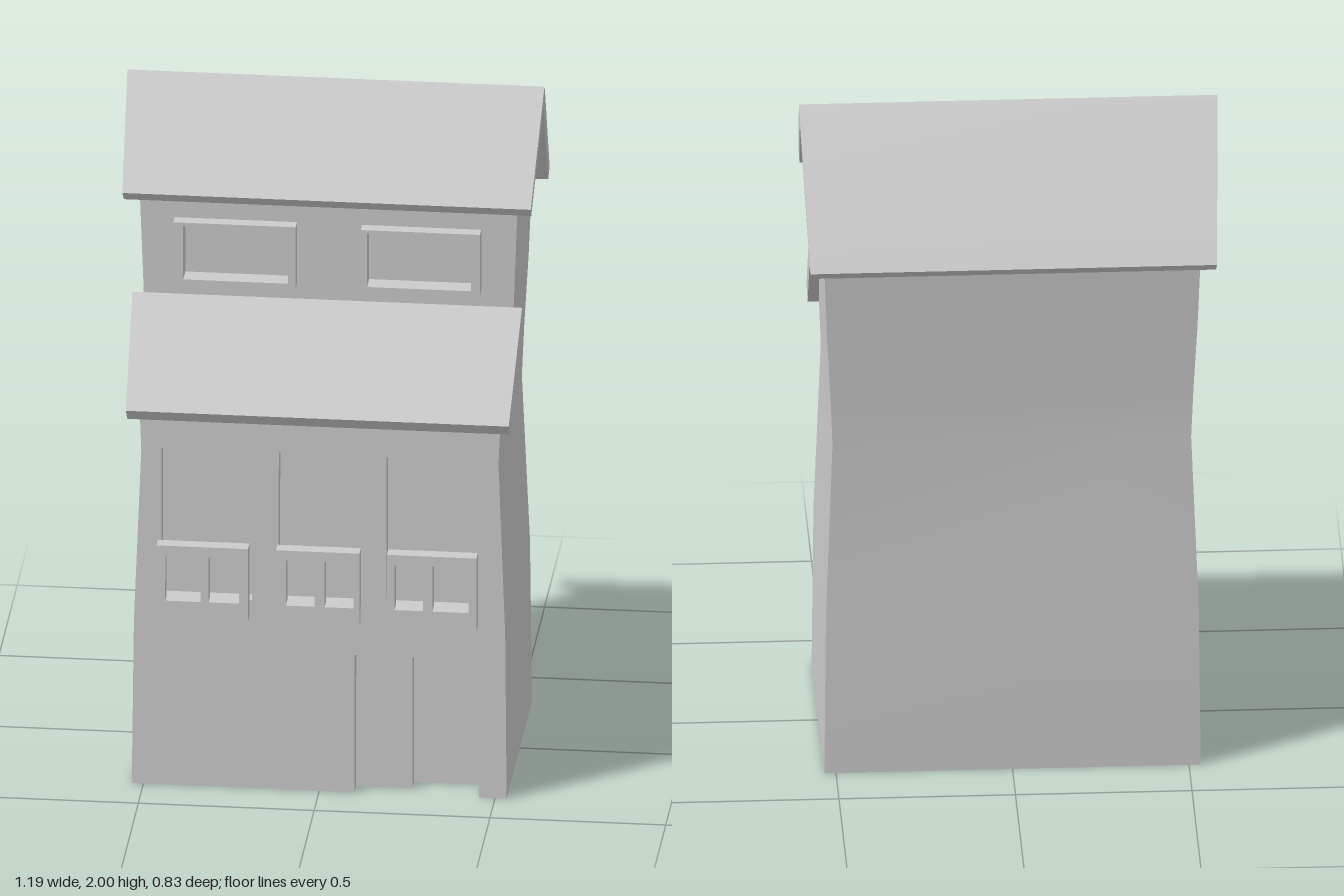
import * as THREE from 'three';
import { toCreasedNormals } from 'three/addons/utils/BufferGeometryUtils.js';

const material = new THREE.MeshStandardMaterial({ color: 0xcccccc, side: THREE.DoubleSide });

// Body cross-sections: height, front z, back z, half width
const levels = [
  [0, 0.36, -0.337, 0.533],
  [0.5, 0.351, -0.329, 0.528],
  [1.02, 0.341, -0.3, 0.508],
  [1.175, 0.338, -0.309, 0.514],
  [1.38, 0.1, -0.32, 0.525],
  [1.65, 0.1, -0.335, 0.535],
  [1.73, 0.1, -0.27, 0.538],
  [1.94, -0.1, -0.1, 0.547],
];
const lowerZ = (y) => 0.36 - 0.0187 * y; // leaning lower front
const upperZ = () => 0.1;

export function createModel() {
  const house = new THREE.Group();
  house.name = 'house';

  const add = (name, geometry, parent = house) => {
    const mesh = new THREE.Mesh(toCreasedNormals(geometry, 0.5), material);
    mesh.name = name;
    parent.add(mesh);
    return mesh;
  };

  // Grid surface through rows of points
  const surface = (rows) => {
    const n = rows[0].length;
    const index = [];
    for (let i = 0; i < rows.length - 1; i++) {
      for (let j = 0; j < n - 1; j++) {
        const a = i * n + j;
        index.push(a, a + 1, a + n + 1, a, a + n + 1, a + n);
      }
    }
    const geometry = new THREE.BufferGeometry();
    geometry.setAttribute('position', new THREE.Float32BufferAttribute(rows.flat(2), 3));
    geometry.setIndex(index);
    geometry.computeVertexNormals();
    return geometry;
  };

  const rect = ([x0, x1, y0, y1]) => [[x0, y0], [x1, y0], [x1, y1], [x0, y1]];
  const shapeOf = (points, holes = []) => {
    const toVec = (p) => new THREE.Vector2(p[0], p[1]);
    const shape = new THREE.Shape(points.map(toVec));
    holes.forEach((h) => shape.holes.push(new THREE.Path(rect(h).map(toVec))));
    return shape;
  };

  // Move a geometry onto a front wall
  const onWall = (geometry, wallZ) => {
    const p = geometry.attributes.position;
    for (let i = 0; i < p.count; i++) p.setZ(i, p.getZ(i) + wallZ(p.getY(i)));
    geometry.computeVertexNormals();
    return geometry;
  };

  // Recessed opening: four reveals and a back pane
  const recess = (name, r, depth, wallZ) => {
    const group = new THREE.Group();
    group.name = name;
    house.add(group);
    const corners = [...rect(r), rect(r)[0]];
    add('reveal', surface([-depth, 0].map((d) => corners.map(([x, y]) => [x, y, wallZ(y) + d]))), group);
    const pane = new THREE.ShapeGeometry(shapeOf(rect(r))).translate(0, 0, -depth);
    add('pane', onWall(pane, wallZ), group);
  };

  // Raised panel with openings
  const raised = (name, r, holes, depth, wallZ) => {
    const geometry = new THREE.ExtrudeGeometry(shapeOf(rect(r), holes), { depth, bevelEnabled: false });
    add(name, onWall(geometry, wallZ));
  };

  // Side walls and back wall
  for (const s of [1, -1]) {
    const rows = levels.map(([y, f, b, w]) => [[s * w, y, f], [s * w, y, b]]);
    add(s > 0 ? 'leftWall' : 'rightWall', surface(s > 0 ? rows : rows.reverse()));
  }
  add('backWall', surface(levels.map(([y, , b, w]) => [[-w, y, b], [w, y, b]]).reverse()));

  // Lower front wall, with window holes and a doorway notch
  const windows = [[-0.45, -0.192, 0.575, 1.03], [-0.117, 0.113, 0.575, 1.03], [0.19, 0.44, 0.575, 1.03]];
  const edge = levels.slice(0, 4).map(([y, , , w]) => [w, y]);
  const doorTop = 0.42;
  const outline = [
    [0.1, 0], [0.1, doorTop], [0.455, doorTop], [0.455, 0],
    ...edge, ...edge.map(([x, y]) => [-x, y]).reverse(),
  ];
  add('lowerFrontWall', onWall(new THREE.ShapeGeometry(shapeOf(outline, windows)), lowerZ));
  windows.forEach((r) => recess('lowerWindow', r, 0.042, lowerZ));

  // Stepped doorway, with lintel
  const plan = [[0.1, 0], [0.1, -0.045], [0.26, -0.045], [0.26, -0.09], [0.455, -0.09], [0.455, 0]];
  const doorRow = (y, k = 1) => plan.map(([x, d]) => [x, y, lowerZ(y) + d * k]);
  add('doorway', surface([doorRow(0), doorRow(doorTop)]));
  add('doorLintel', surface([doorRow(doorTop), doorRow(doorTop, 0)]));

  // Balcony fronts, each with two openings
  const balconies = [
    [-0.46, -0.2, [-0.435, -0.335], [-0.312, -0.225]],
    [-0.12, 0.117, [-0.092, -0.01], [0.018, 0.1]],
    [0.195, 0.45, [0.217, 0.298], [0.325, 0.428]],
  ];
  for (const [x0, x1, ...gaps] of balconies) {
    raised('balconyFront', [x0, x1, 0.525, 0.748], gaps.map(([a, b]) => [a, b, 0.58, 0.718]), 0.04, lowerZ);
  }

  // Upper front wall with two framed windows
  const upperWindows = [[-0.41, -0.112, 1.463, 1.628], [0.113, 0.408, 1.463, 1.628]];
  const upperFrames = [[-0.438, -0.09, 1.45, 1.638], [0.095, 0.434, 1.45, 1.638]];
  const upperEdge = levels.slice(4, 7).map(([y, , , w]) => [w, y]);
  const upperOutline = [...upperEdge, ...upperEdge.map(([x, y]) => [-x, y]).reverse()];
  add('upperFrontWall', onWall(new THREE.ShapeGeometry(shapeOf(upperOutline, upperWindows)), upperZ));
  upperWindows.forEach((r, i) => {
    recess('upperWindow', r, 0.02, upperZ);
    raised('upperWindowFrame', upperFrames[i], [r], 0.037, upperZ);
  });

  // Roofs: (z, y) profile swept across x, flaring with height
  const roof = (name, profile, halfWidth) => {
    const geometry = new THREE.ExtrudeGeometry(shapeOf(profile), { depth: 2, bevelEnabled: false });
    geometry.translate(0, 0, -1).rotateY(-Math.PI / 2);
    const p = geometry.attributes.position;
    for (let i = 0; i < p.count; i++) p.setX(i, p.getX(i) * halfWidth(p.getY(i)));
    geometry.computeVertexNormals();
    add(name, geometry);
  };
  roof('mainRoof',
    [[0.13, 1.7], [0.16, 1.732], [-0.1, 2], [-0.12, 1.982], [-0.412, 1.618], [-0.385, 1.59], [-0.1, 1.94]],
    (y) => 0.593 - (2 - y) * 0.046);
  roof('lowerRoof',
    [[0.382, 1.133], [0.415, 1.172], [0.14, 1.42], [0.103, 1.382]],
    (y) => 0.554 - (1.42 - y) * 0.038);

  return house;
}
